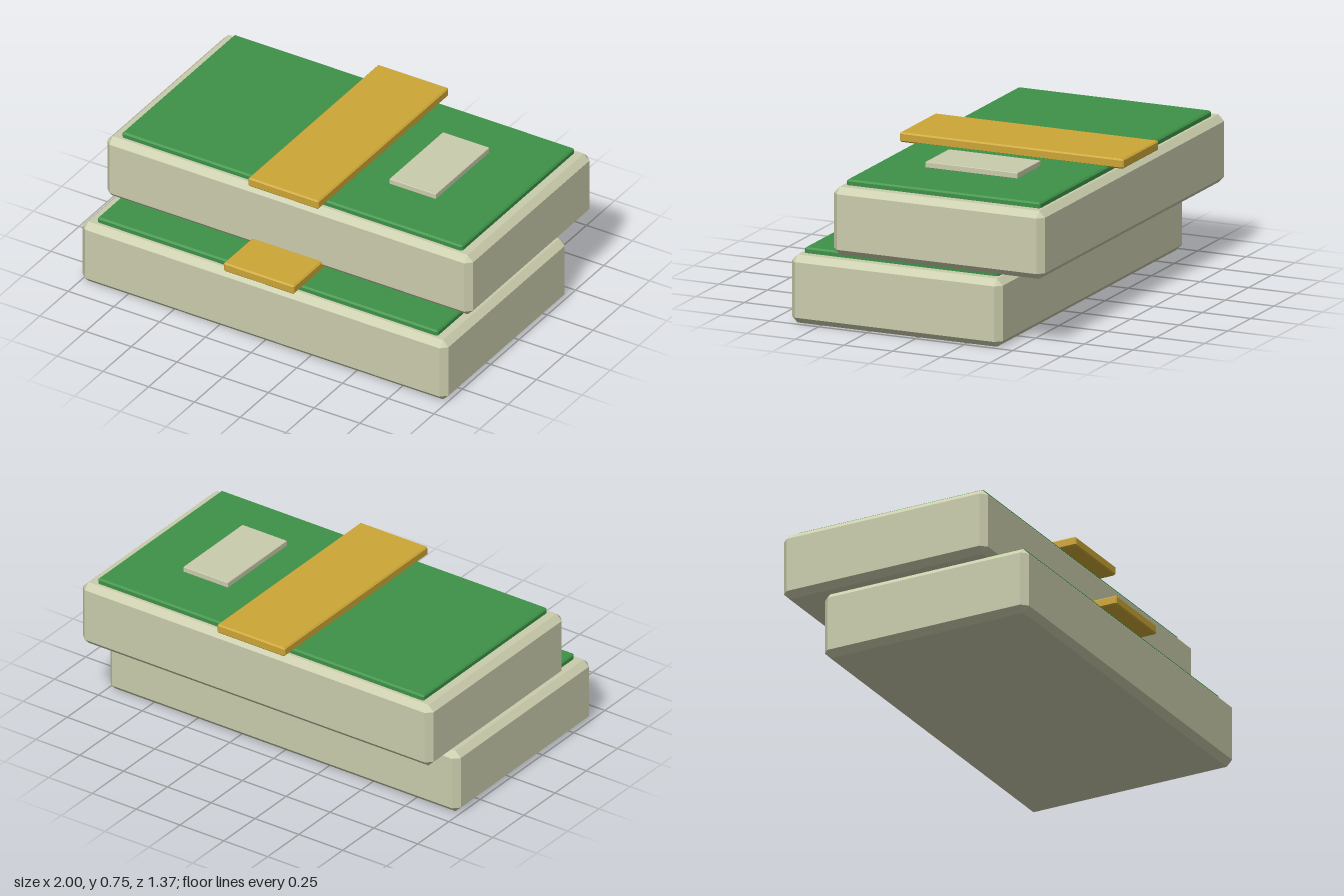
import * as THREE from 'three';
import { ConvexGeometry } from 'three/addons/geometries/ConvexGeometry.js';

const paper = new THREE.MeshStandardMaterial({ color: 0xcaccac });
paper.name = 'paper';
const green = new THREE.MeshStandardMaterial({ color: 0x3d9247 });
green.name = 'green';
const gold = new THREE.MeshStandardMaterial({ color: 0xcca636 });
gold.name = 'gold';

// Box with every edge and corner cut off by c
function chamferBox(w, h, d, c) {
  const points = [];
  for (const sx of [-1, 1]) for (const sy of [-1, 1]) for (const sz of [-1, 1]) {
    for (let axis = 0; axis < 3; axis++) {
      const cut = [c, c, c];
      cut[axis] = 0;
      points.push(new THREE.Vector3(
        sx * (w / 2 - cut[0]), sy * (h / 2 - cut[1]), sz * (d / 2 - cut[2])));
    }
  }
  return new ConvexGeometry(points);
}

function addPart(group, name, geometry, material, x, y) {
  const mesh = new THREE.Mesh(geometry, material);
  mesh.name = name;
  mesh.position.set(x, y, 0);
  group.add(mesh);
}

// One banded bundle of notes, standing on its own y = 0
function createBundle(name) {
  const bundle = new THREE.Group();
  bundle.name = name;
  addPart(bundle, 'noteStack', chamferBox(2, 0.327, 1.086, 0.03), paper, 0, 0.1635);
  addPart(bundle, 'topNote', chamferBox(1.86, 0.04, 0.996, 0.008), green, 0, 0.334);
  addPart(bundle, 'band', chamferBox(0.386, 0.047, 1.152, 0.007), gold, 0, 0.3715);
  addPart(bundle, 'notePanel', chamferBox(0.254, 0.028, 0.474, 0.002), paper, 0.498, 0.381);
  return bundle;
}

export function createModel() {
  const model = new THREE.Group();
  model.name = 'bundleStack';
  const lower = createBundle('lowerBundle');
  lower.position.set(0, 0, 0.1085);
  const upper = createBundle('upperBundle');
  upper.position.set(0, 0.351, -0.1085);
  model.add(lower, upper);
  return model;
}
